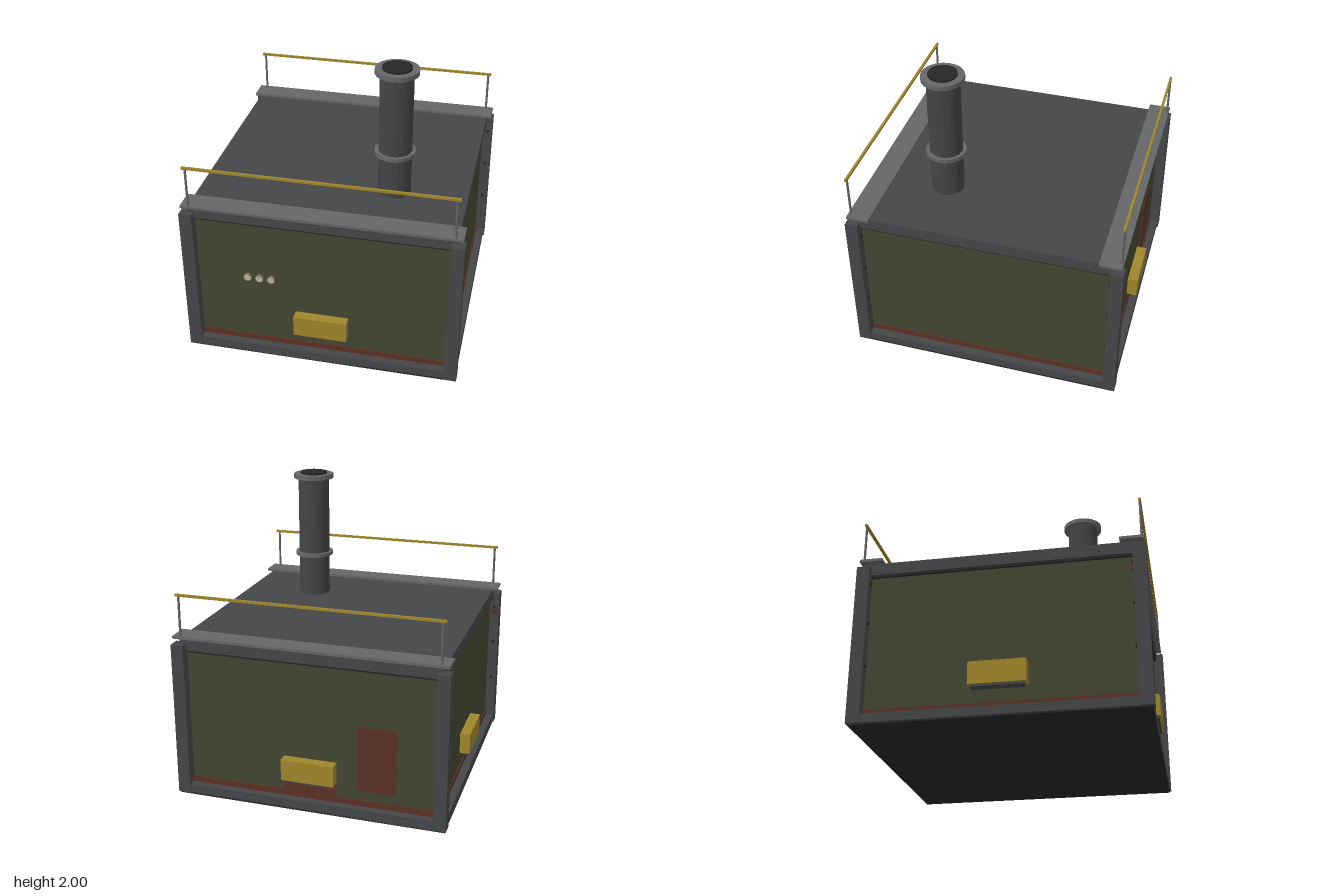
import * as THREE from 'three';

const mat = (color, extra = {}) => new THREE.MeshStandardMaterial({ color, ...extra });

export function createModel() {
  const model = new THREE.Group();
  const steel = mat(0x454648), light = mat(0x656668), dark = mat(0x262626);
  const olive = mat(0x434631), yellow = mat(0xa0862a), rust = mat(0x5c3025), glass = mat(0xb5b2a8);
  const brass = mat(0x7a6535);
  const pipe = mat(0x434446, { flatShading: true }), ring = mat(0x656668, { flatShading: true });

  const add = (name, geo, material, x, y, z, parent = model) => {
    const m = new THREE.Mesh(geo, material);
    m.name = name;
    m.position.set(x, y, z);
    parent.add(m);
    return m;
  };
  // Box given by its lower and upper corners
  const box = (name, material, [x0, y0, z0], [x1, y1, z1], parent) =>
    add(name, new THREE.BoxGeometry(x1 - x0, y1 - y0, z1 - z0), material,
      (x0 + x1) / 2, (y0 + y1) / 2, (z0 + z1) / 2, parent);
  const cyl = (name, material, r, y0, y1, x, z, sides = 20) =>
    add(name, new THREE.CylinderGeometry(r, r, y1 - y0, sides), material, x, (y0 + y1) / 2, z);

  // Body, floor and roof
  box('floor', dark, [-0.915, 0, -0.915], [0.915, 0.012, 0.915]);
  box('body', olive, [-0.855, 0.012, -0.855], [0.855, 1.02, 0.855]);
  box('roofUnderTrim', dark, [-0.87, 1.01, -0.87], [0.87, 1.03, 0.87]);
  box('roof', steel, [-0.88, 1.025, -0.88], [0.88, 1.105, 0.88]);

  // Each side: base beam and rust strip, with a hatch on three of them
  const sides = ['front', 'left', 'back', 'right'];
  sides.forEach((name, i) => {
    const side = new THREE.Group();
    side.name = name + 'Side';
    side.rotation.y = i * Math.PI / 2;
    model.add(side);
    box('baseBeam', steel, [-0.86, 0.005, 0.84], [0.86, 0.07, 0.915], side);
    box('rustStrip', rust, [-0.84, 0.07, 0.85], [0.84, 0.11, 0.862], side);
    if (name !== 'left') {
      box('hatch', yellow, [-0.18, 0.21, 0.85], [0.18, 0.355, 0.925], side);
      box('hatchSill', steel, [-0.165, 0.195, 0.85], [0.165, 0.21, 0.915], side);
    }
    if (name === 'back') {
      box('rustDoor', rust, [0.32, 0.18, 0.85], [0.58, 0.63, 0.86], side);
      box('rustStain', rust, [-0.18, 0.1, 0.85], [0.18, 0.2, 0.86], side);
    }
  });

  // Corner posts with bolts on their inner faces
  for (const sx of [-1, 1]) for (const sz of [-1, 1]) {
    add('cornerPost', new THREE.BoxGeometry(0.085, 1.06, 0.085), steel, sx * 0.8825, 0.54, sz * 0.8825);
    for (const y of [0.39, 0.68, 0.96]) {
      const bolt = add('bolt', new THREE.CylinderGeometry(0.012, 0.012, 0.016, 8), dark, sx * 0.89, y, sz * 0.838);
      bolt.rotation.x = Math.PI / 2;
    }
  }
  box('rustPatch', rust, [-0.91, 0.9, 0.832], [-0.87, 0.945, 0.842]);

  // Walkways and railings along the front and back
  for (const s of [-1, 1]) {
    add('walkway', new THREE.BoxGeometry(1.83, 0.018, 0.15), light, 0, 1.119, s * 0.838);
    for (const x of [-0.862, 0.862]) cyl('railPost', light, 0.008, 1.12, 1.405, x, s * 0.9, 8);
    add('handrail', new THREE.BoxGeometry(1.77, 0.016, 0.016), yellow, 0, 1.405, s * 0.9);
  }

  // Chimney
  const c = 0.39;
  cyl('chimney', pipe, 0.11, 1.1, 1.985, c, c);
  cyl('chimneyBand', ring, 0.135, 1.39, 1.416, c, c);
  cyl('chimneyRim', ring, 0.142, 1.955, 1.987, c, c);
  cyl('chimneyMouth', dark, 0.096, 1.98, 2, c, c);

  // Row of round gauges on the front
  for (const x of [-0.5, -0.42, -0.34]) {
    add('gaugeRim', new THREE.TorusGeometry(0.025, 0.005, 8, 20), brass, x, 0.595, 0.868);
    const face = add('gaugeGlass', new THREE.CylinderGeometry(0.025, 0.025, 0.025, 20), glass, x, 0.595, 0.86);
    face.rotation.x = Math.PI / 2;
  }
  return model;
}
